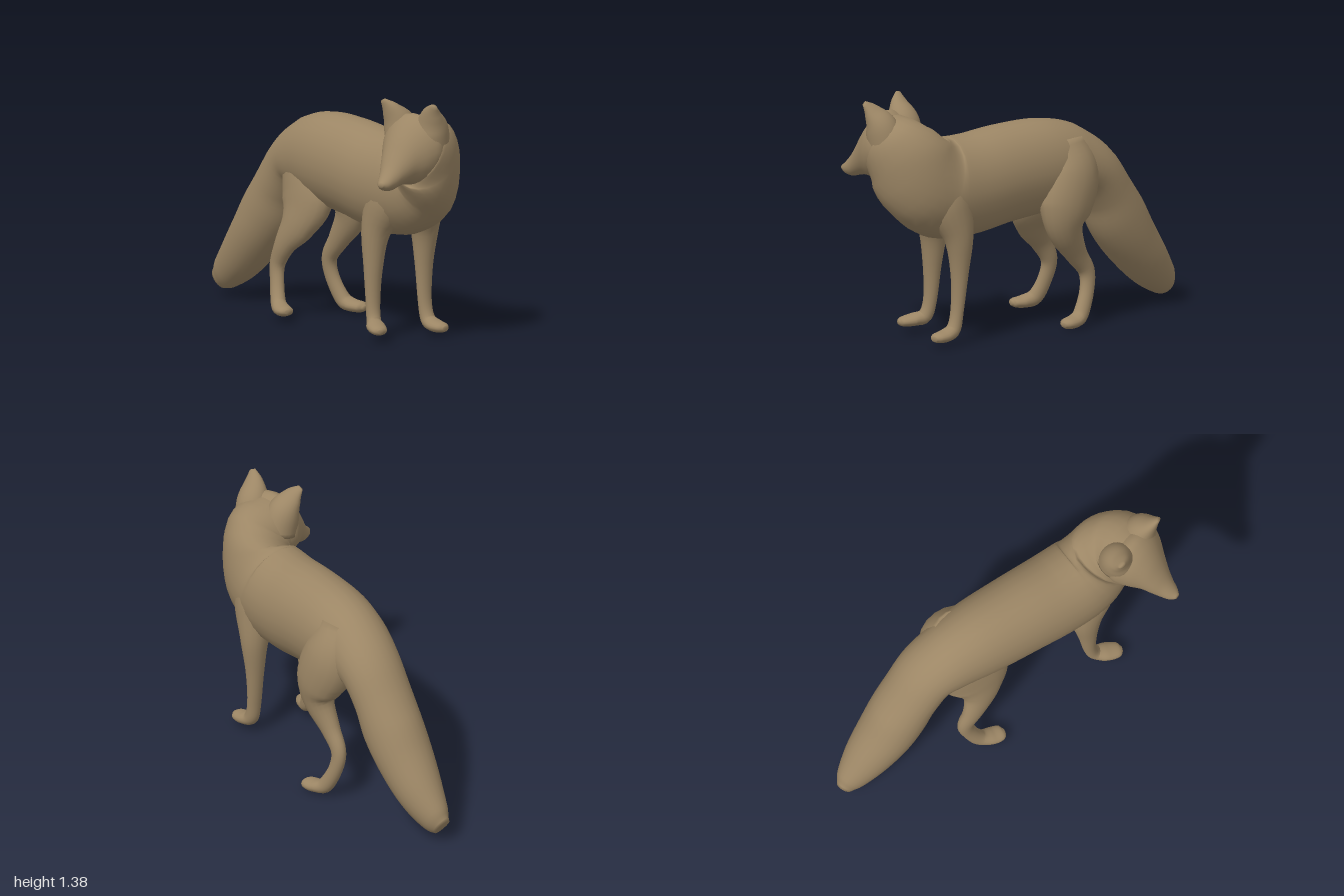
import * as THREE from 'three';

const UP = new THREE.Vector3(0, 1, 0);
// sideways direction of the body, which stands at an angle across the x axis
const LATERAL = new THREE.Vector3(-0.33, 0, 0.94).normalize();

// Smooth skin through sections [x, y, z, half width, half height].
// Sections stay level unless a fixed sideways direction is given, and
// stand square to the path unless a fixed normal is given.
function loft(sections, { lateral, normal, steps = 5, sides = 24 } = {}) {
  const path = new THREE.CatmullRomCurve3(
    sections.map(([x, y, z]) => new THREE.Vector3(x, y, z)), false, 'catmullrom', 0.5);
  const size = new THREE.CatmullRomCurve3(
    sections.map((s) => new THREE.Vector3(s[3], s[4], 0)), false, 'catmullrom', 0.5);
  const rings = (sections.length - 1) * steps;
  const positions = [];
  const index = [];
  for (let i = 0; i <= rings; i++) {
    const t = i / rings;
    const centre = path.getPoint(t);
    const r = size.getPoint(t);
    const along = normal ?? path.getTangent(t);
    const side = lateral
      ? lateral.clone().addScaledVector(along, -lateral.dot(along)).normalize()
      : UP.clone().cross(along).normalize();
    const up = along.clone().cross(side);
    for (let j = 0; j < sides; j++) {
      const angle = (j / sides) * Math.PI * 2;
      const p = centre.clone()
        .addScaledVector(side, Math.cos(angle) * Math.max(r.x, 0.004))
        .addScaledVector(up, Math.sin(angle) * Math.max(r.y, 0.004));
      positions.push(p.x, p.y, p.z);
    }
  }
  for (let i = 0; i < rings; i++) {
    for (let j = 0; j < sides; j++) {
      const k = (j + 1) % sides;
      const a = i * sides + j, b = i * sides + k;
      const c = a + sides, d = b + sides;
      index.push(a, b, d, a, d, c);
    }
  }
  // closed ends
  const first = positions.length / 3;
  positions.push(...path.getPoint(0).toArray(), ...path.getPoint(1).toArray());
  for (let j = 0; j < sides; j++) {
    const k = (j + 1) % sides;
    index.push(first, k, j, first + 1, rings * sides + j, rings * sides + k);
  }
  const geometry = new THREE.BufferGeometry();
  geometry.setAttribute('position', new THREE.Float32BufferAttribute(positions, 3));
  geometry.setIndex(index);
  geometry.computeVertexNormals();
  return geometry;
}

export function createModel() {
  const group = new THREE.Group();
  const fur = new THREE.MeshStandardMaterial({ color: 0x9c8665 });
  fur.name = 'brown fur';
  const add = (name, geometry) => {
    const mesh = new THREE.Mesh(geometry, fur);
    mesh.name = name;
    group.add(mesh);
  };

  // bushy tail, trunk and turned neck in one skin
  add('tailTrunkAndNeck', loft([
    [-0.965, 0.09, -0.45, 0.045, 0.06],
    [-0.905, 0.135, -0.445, 0.085, 0.098],
    [-0.79, 0.245, -0.425, 0.13, 0.135],
    [-0.66, 0.40, -0.395, 0.16, 0.16],
    [-0.56, 0.545, -0.375, 0.17, 0.172],
    [-0.475, 0.69, -0.355, 0.17, 0.155],
    [-0.36, 0.835, -0.325, 0.178, 0.165],
    [-0.22, 0.888, -0.27, 0.195, 0.225],
    [-0.05, 0.90, -0.205, 0.215, 0.265],
    [0.20, 0.885, -0.11, 0.225, 0.278],
    [0.42, 0.857, -0.03, 0.23, 0.285],
    [0.60, 0.865, 0.03, 0.225, 0.285],
    [0.74, 0.945, 0.065, 0.195, 0.262],
    [0.80, 1.06, 0.14, 0.19, 0.23],
    [0.795, 1.115, 0.22, 0.185, 0.185],
    [0.79, 1.12, 0.27, 0.14, 0.14],
  ]));

  // wedge-shaped head facing forward
  add('head', loft([
    [0.79, 1.10, 0.14, 0.16, 0.15],
    [0.79, 1.12, 0.23, 0.19, 0.19],
    [0.79, 1.10, 0.30, 0.165, 0.18],
    [0.785, 1.067, 0.37, 0.118, 0.137],
    [0.78, 1.015, 0.43, 0.083, 0.095],
    [0.78, 0.975, 0.475, 0.06, 0.065],
    [0.78, 0.953, 0.52, 0.04, 0.035],
    [0.78, 0.951, 0.55, 0.016, 0.012],
  ], { normal: new THREE.Vector3(0, 0, 1) }));

  // pointed ears, mirrored about the middle of the head
  for (const s of [-1, 1]) {
    add(s < 0 ? 'rightEar' : 'leftEar', loft([
      [0.79 + s * 0.09, 1.12, 0.19, 0.10, 0.11],
      [0.79 + s * 0.108, 1.24, 0.215, 0.092, 0.09],
      [0.79 + s * 0.136, 1.32, 0.255, 0.06, 0.045],
      [0.79 + s * 0.170, 1.376, 0.287, 0.018, 0.01],
    ], { lateral: new THREE.Vector3(1, 0, 0) }));
  }

  // legs run down from the shoulder or hip and bend forward into the paw
  const legs = {
    nearFrontLeg: [
      [0.58, 0.97, 0.05, 0.12, 0.12],
      [0.545, 0.79, 0.105, 0.135, 0.15],
      [0.48, 0.61, 0.145, 0.08, 0.092],
      [0.47, 0.40, 0.16, 0.054, 0.055],
      [0.475, 0.20, 0.17, 0.042, 0.038],
      [0.495, 0.10, 0.19, 0.042, 0.04],
      [0.54, 0.08, 0.235, 0.055, 0.035],
      [0.59, 0.07, 0.28, 0.045, 0.026],
      [0.61, 0.068, 0.295, 0.015, 0.012],
    ],
    farFrontLeg: [
      [0.64, 0.95, -0.04, 0.12, 0.12],
      [0.645, 0.78, -0.07, 0.12, 0.14],
      [0.625, 0.60, -0.118, 0.08, 0.085],
      [0.62, 0.40, -0.12, 0.054, 0.05],
      [0.63, 0.20, -0.112, 0.042, 0.035],
      [0.655, 0.09, -0.105, 0.042, 0.04],
      [0.71, 0.06, -0.09, 0.055, 0.035],
      [0.77, 0.053, -0.075, 0.048, 0.028],
      [0.80, 0.05, -0.07, 0.02, 0.015],
    ],
    nearRearLeg: [
      [-0.20, 1.01, -0.22, 0.085, 0.13],
      [-0.20, 0.84, -0.18, 0.105, 0.175],
      [-0.16, 0.67, -0.13, 0.105, 0.195],
      [-0.19, 0.54, -0.085, 0.075, 0.125],
      [-0.27, 0.42, -0.072, 0.05, 0.072],
      [-0.33, 0.30, -0.085, 0.04, 0.05],
      [-0.32, 0.19, -0.065, 0.037, 0.043],
      [-0.285, 0.09, -0.025, 0.042, 0.045],
      [-0.23, 0.065, 0.02, 0.052, 0.035],
      [-0.185, 0.063, 0.05, 0.045, 0.026],
      [-0.165, 0.063, 0.06, 0.016, 0.012],
    ],
    farRearLeg: [
      [-0.13, 1.02, -0.29, 0.12, 0.14],
      [-0.12, 0.86, -0.355, 0.14, 0.18],
      [-0.05, 0.69, -0.38, 0.115, 0.168],
      [-0.04, 0.56, -0.385, 0.082, 0.112],
      [-0.13, 0.41, -0.395, 0.052, 0.067],
      [-0.205, 0.30, -0.415, 0.04, 0.05],
      [-0.195, 0.19, -0.425, 0.038, 0.043],
      [-0.13, 0.07, -0.43, 0.042, 0.045],
      [-0.07, 0.04, -0.43, 0.055, 0.036],
      [0.0, 0.034, -0.425, 0.05, 0.03],
      [0.03, 0.03, -0.42, 0.018, 0.013],
    ],
  };
  for (const [name, sections] of Object.entries(legs)) {
    add(name, loft(sections, { lateral: LATERAL, sides: 18 }));
  }

  return group;
}
